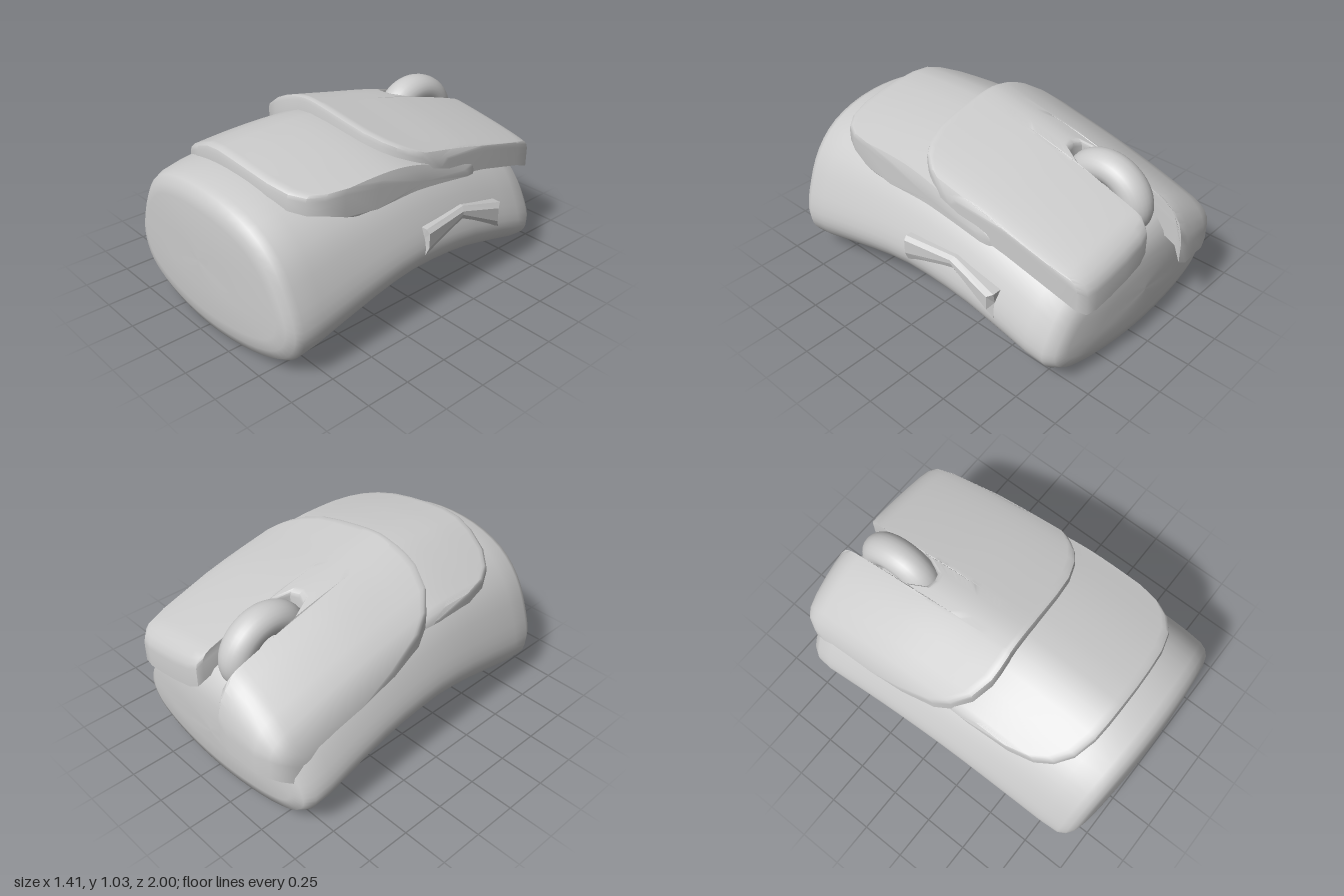
import * as THREE from 'three';
import { toCreasedNormals } from 'three/addons/utils/BufferGeometryUtils.js';

const grey = new THREE.MeshStandardMaterial({ color: 0xcccccc });
const flatGrey = new THREE.MeshStandardMaterial({ color: 0xcccccc, flatShading: true });

// Smooth curve through [position, value] pairs
function curve(points) {
  const slope = (a, b) => (b[1] - a[1]) / (b[0] - a[0]);
  const tangents = points.map((p, i) =>
    slope(points[Math.max(i - 1, 0)], points[Math.min(i + 1, points.length - 1)]));
  return (x) => {
    let i = 0;
    while (i < points.length - 2 && x > points[i + 1][0]) i++;
    const [x0, y0] = points[i], [x1, y1] = points[i + 1], w = x1 - x0;
    const t = THREE.MathUtils.clamp((x - x0) / w, 0, 1), t2 = t * t, t3 = t2 * t;
    return y0 * (2 * t3 - 3 * t2 + 1) + y1 * (3 * t2 - 2 * t3)
      + w * (tangents[i] * (t3 - 2 * t2 + t) + tangents[i + 1] * (t3 - t2));
  };
}

// Skin over closed rings of equal length, closed at both ends by a fan
function loft(rings) {
  const n = rings[0].length, last = rings.length - 1;
  const pos = rings.flat(2), index = [];
  for (let i = 0; i < last; i++) {
    for (let j = 0; j < n; j++) {
      const k = (j + 1) % n, a = i * n + j, b = i * n + k;
      index.push(a, b, b + n, a, b + n, a + n);
    }
  }
  for (const r of [0, last]) {
    const centre = pos.length / 3;
    for (let c = 0; c < 3; c++) pos.push(rings[r].reduce((s, p) => s + p[c], 0) / n);
    for (let j = 0; j < n; j++) {
      const a = r * n + j, b = r * n + (j + 1) % n;
      if (r === 0) index.push(centre, b, a);
      else index.push(centre, a, b);
    }
  }
  const geometry = new THREE.BufferGeometry();
  geometry.setAttribute('position', new THREE.Float32BufferAttribute(pos, 3));
  geometry.setIndex(index);
  return geometry;
}

// Curved shell made of columns [x, zBack, zFront] under a height rule
function plate(columns, height, thickness) {
  const N = 40;
  return loft(columns.map(([x, zb, zf], c) => {
    const dip = c === 0 || c === columns.length - 1 ? 0.03 : 0;
    const bevel = 0.025, ring = [];
    const at = (z, down) => ring.push([x, height(x, z) - down, z]);
    for (let i = 0; i <= N; i++) at(THREE.MathUtils.lerp(zb + bevel, zf - bevel, i / N), dip);
    at(zf - 0.006, dip + 0.01);
    at(zf, dip + 0.03);
    for (let i = 0; i <= N; i++) {
      const z = THREE.MathUtils.lerp(zf, zb, i / N);
      at(z, thickness(z));
    }
    at(zb, dip + 0.03);
    at(zb + 0.006, dip + 0.01);
    return ring;
  }));
}

function addMesh(group, name, geometry, material = grey) {
  const mesh = new THREE.Mesh(geometry, material);
  mesh.name = name;
  group.add(mesh);
  return mesh;
}

export function createModel() {
  const group = new THREE.Group();
  group.name = 'computerMouse';

  // Body: D-shaped section swept along an arched base
  const half = [[0, 0], [0.4, 0.02], [0.72, 0.07], [0.9, 0.14], [0.99, 0.25], [1, 0.36],
    [0.94, 0.53], [0.82, 0.73], [0.63, 0.88], [0.35, 0.97], [0, 1]];
  const outline = [...half, ...half.slice(1, -1).reverse().map(([u, v]) => [-u, v])];
  const section = new THREE.CatmullRomCurve3(
    outline.map(([u, v]) => new THREE.Vector3(u, v, 0)), true).getPoints(56).slice(0, -1);
  // z, bottom, top, width factor
  const stations = [
    [-0.93, 0.29, 0.31, 0.02], [-0.927, 0.2, 0.4, 0.5], [-0.92, 0.11, 0.49, 0.83],
    [-0.9, 0.045, 0.57, 0.93], [-0.85, 0.02, 0.635, 0.98], [-0.75, 0.04, 0.685, 1],
    [-0.62, 0.072, 0.735, 1], [-0.5, 0.1, 0.775, 1], [-0.35, 0.133, 0.82, 1],
    [-0.2, 0.153, 0.85, 1], [-0.05, 0.163, 0.873, 1], [0.1, 0.165, 0.885, 1],
    [0.25, 0.148, 0.888, 1], [0.4, 0.118, 0.885, 1], [0.6, 0.07, 0.876, 1],
    [0.8, 0.02, 0.858, 1], [0.92, 0, 0.835, 0.99], [0.96, 0.025, 0.815, 0.96],
    [0.985, 0.08, 0.77, 0.91], [0.995, 0.14, 0.72, 0.83], [1, 0.28, 0.57, 0.45],
    [1, 0.42, 0.44, 0.02]];
  const body = loft(stations.map(([z, lo, hi, k]) => section.map(({ x, y }) =>
    [0.035 * z + 0.675 * k * x, lo + (hi - lo) * y, z * (1 - 0.05 * (k * x) ** 2)])));
  body.computeVertexNormals();
  addMesh(group, 'body', body);

  // Button shell: one piece with a notch for the wheel, both buttons drooping at the tips
  const crown = curve([[-0.64, 0.64], [-0.58, 0.785], [-0.5, 0.865], [-0.3, 0.98], [-0.15, 1.03],
    [-0.05, 1.035], [0.2, 1], [0.38, 0.967], [0.5, 0.938], [0.57, 0.912]]);
  const drop = curve([[-1, 0.49], [-0.99, 0.43], [-0.965, 0.365], [-0.925, 0.31], [-0.85, 0.262],
    [-0.4, 0.13], [0, 0.044], [0.21, 0]]);
  const buttons = plate([
    [-0.63, -0.78, -0.55], [-0.61, -0.87, -0.2], [-0.58, -0.925, 0], [-0.54, -0.955, 0.09],
    [-0.46, -0.983, 0.17], [-0.35, -0.995, 0.21], [-0.28, -1, 0.213], [-0.215, -0.998, 0.21],
    [-0.2, -0.97, 0.208], [-0.193, -0.5, 0.207], [-0.15, -0.39, 0.206], [-0.1, -0.375, 0.205],
    [-0.05, -0.39, 0.204], [-0.003, -0.5, 0.203], [0.003, -0.91, 0.203], [0.02, -0.94, 0.202],
    [0.08, -0.953, 0.2], [0.2, -0.958, 0.195], [0.32, -0.958, 0.182], [0.42, -0.955, 0.145],
    [0.48, -0.945, 0.1], [0.515, -0.91, 0.055], [0.533, -0.8, 0.025], [0.55, -0.5, -0.015],
    [0.567, -0.2, -0.08]],
  (x, z) => crown(x) - drop(z), () => 0.14);
  addMesh(group, 'buttonShell', toCreasedNormals(buttons, 0.7));

  // Palm rest: lower shell running back in a wedge under the buttons
  const palm = curve([[-0.54, 0.74], [-0.35, 0.855], [-0.15, 0.945], [0, 0.952], [0.3, 0.915],
    [0.57, 0.85]]);
  const palmDrop = curve([[-0.42, 0.17], [0, 0.035], [0.2, 0], [0.5, 0], [0.8, 0.02]]);
  const palmThickness = curve([[-0.42, 0.05], [0, 0.13], [0.2, 0.165], [0.42, 0.17],
    [0.6, 0.11], [0.79, 0.09]]);
  const palmRest = plate([
    [-0.545, 0, 0.2], [-0.53, -0.1, 0.45], [-0.5, -0.2, 0.59], [-0.45, -0.25, 0.68],
    [-0.37, -0.25, 0.745], [-0.25, -0.25, 0.78], [-0.15, -0.25, 0.788], [-0.05, -0.25, 0.79],
    [0.08, -0.25, 0.79], [0.2, -0.25, 0.785], [0.32, -0.3, 0.775], [0.43, -0.36, 0.745],
    [0.5, -0.4, 0.69], [0.54, -0.42, 0.61], [0.56, -0.4, 0.5], [0.57, -0.35, 0.3]],
  (x, z) => palm(x) - palmDrop(z), palmThickness);
  addMesh(group, 'palmRest', toCreasedNormals(palmRest, 0.7));

  // Scroll wheel: slightly flattened and tilted along the shell
  const wheel = addMesh(group, 'scrollWheel', new THREE.TorusGeometry(0.165, 0.095, 24, 48));
  wheel.scale.y = 0.86;
  wheel.rotation.set(-0.27, Math.PI / 2, 0);
  wheel.position.set(-0.1, 0.72, -0.615);

  // Side button: bent bar with bevelled edges; z, low, high, outer x
  const bar = [[-0.52, 0.31, 0.46, 0.68], [-0.24, 0.44, 0.53, 0.66], [0.07, 0.375, 0.525, 0.7]];
  addMesh(group, 'sideButton', loft(bar.map(([z, lo, hi, x]) =>
    [[0.58, lo, z], [x - 0.02, lo, z], [x, lo + 0.05, z * 0.94], [x, hi - 0.02, z * 0.94],
      [x - 0.02, hi, z], [0.58, hi, z]])), flatGrey);

  return group;
}
